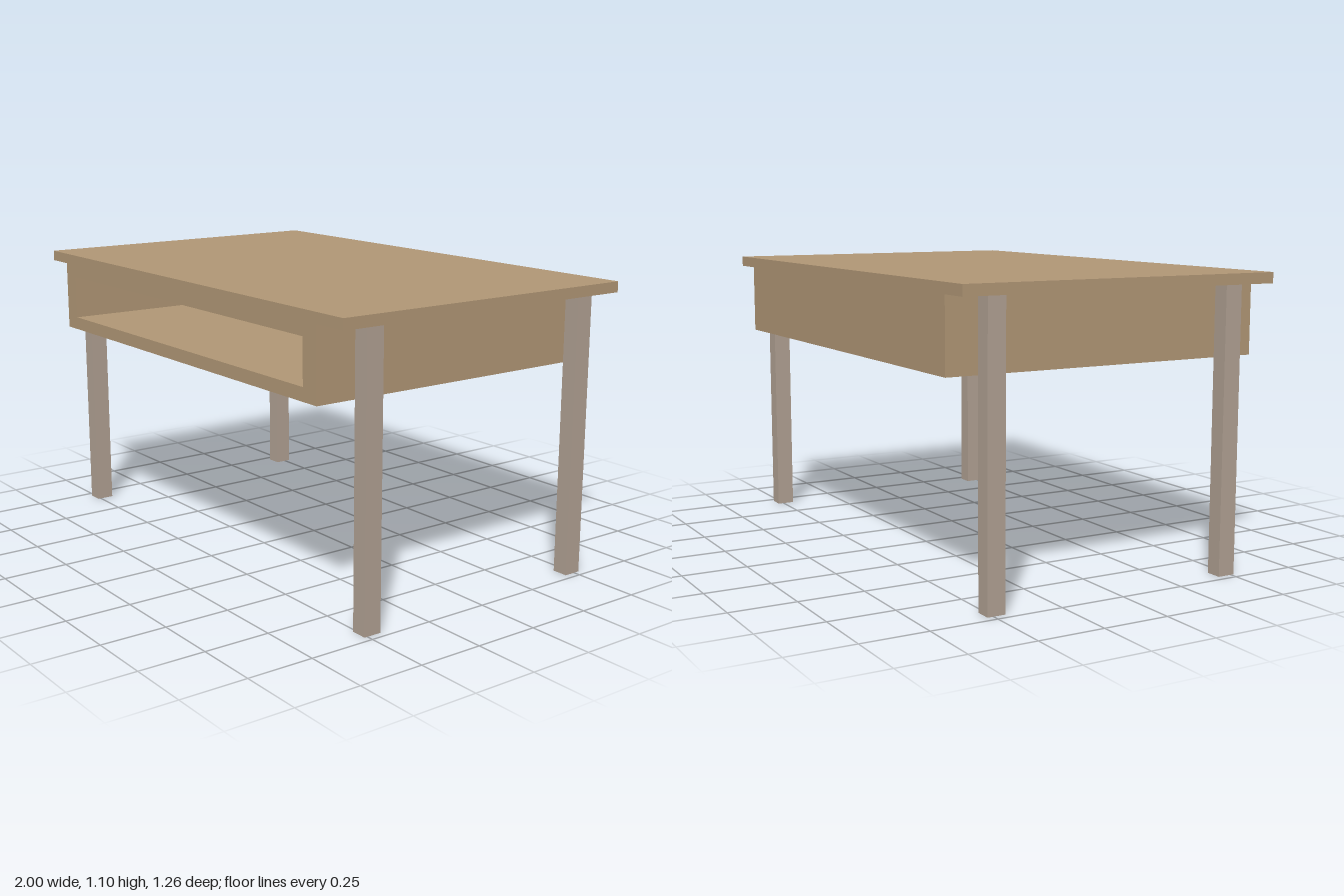
import * as THREE from 'three';

export function createModel() {
  const desk = new THREE.Group();
  desk.name = 'desk';
  const wood = new THREE.MeshStandardMaterial({ color: 0xb09675 });
  wood.name = 'tan wood';
  const legPaint = new THREE.MeshStandardMaterial({ color: 0xb0a092 });
  legPaint.name = 'grey brown';

  // Box given by its minimum and maximum corners
  function box(name, material, [x0, y0, z0], [x1, y1, z1]) {
    const mesh = new THREE.Mesh(new THREE.BoxGeometry(x1 - x0, y1 - y0, z1 - z0), material);
    mesh.position.set((x0 + x1) / 2, (y0 + y1) / 2, (z0 + z1) / 2);
    mesh.name = name;
    desk.add(mesh);
  }

  const halfDepth = 0.63, under = 1.06, backWall = 0.07;
  box('tableTop', wood, [-1, under, -halfDepth], [1, 1.1, halfDepth]);

  // Storage compartment, open at the front
  const rect = (Type, x0, y0, x1, y1) => new Type([
    new THREE.Vector2(x0, y0), new THREE.Vector2(x1, y0),
    new THREE.Vector2(x1, y1), new THREE.Vector2(x0, y1),
  ]);
  const outline = rect(THREE.Shape, -0.882, 0.792, 0.862, under);
  outline.holes.push(rect(THREE.Path, -0.807, 0.842, 0.787, 1.01));
  const shell = new THREE.Mesh(new THREE.ExtrudeGeometry(outline, {
    depth: 2 * halfDepth - backWall, bevelEnabled: false,
  }), wood);
  shell.position.z = -halfDepth + backWall;
  shell.name = 'compartmentShell';
  desk.add(shell);
  box('compartmentBack', wood, [-0.882, 0.792, -halfDepth], [0.862, under, -halfDepth + backWall]);

  // Four square legs
  for (const [side, x] of [['right', -0.94], ['left', 0.942]]) {
    for (const [end, z] of [['Front', 0.478], ['Back', -0.489]]) {
      box(side + end + 'Leg', legPaint, [x - 0.031, 0, z - 0.034], [x + 0.031, under, z + 0.034]);
    }
  }
  return desk;
}
